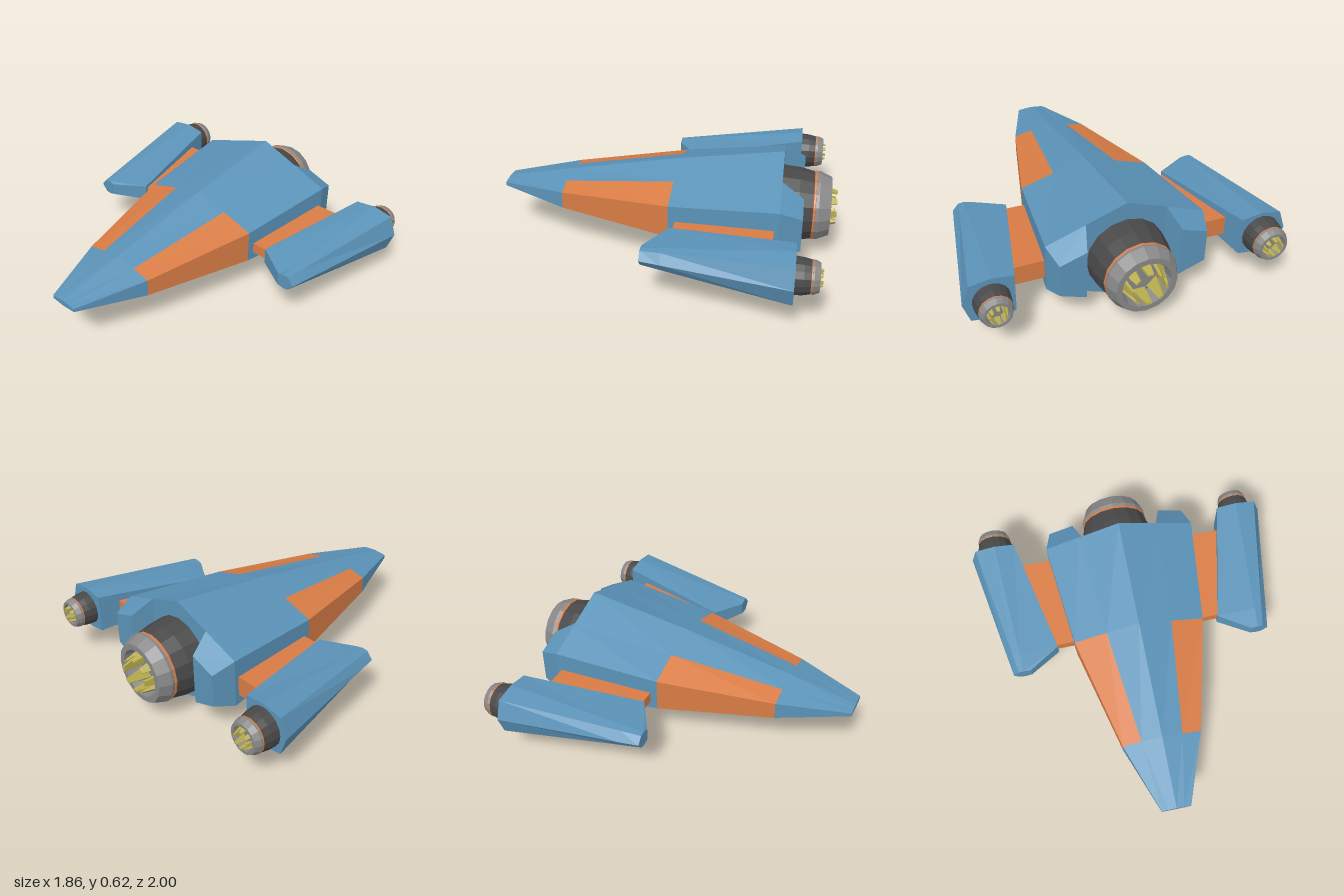
import * as THREE from 'three';

const paint = (color) => new THREE.MeshStandardMaterial({ color, flatShading: true, side: THREE.DoubleSide });

// Skins counter-clockwise rings ordered from back to front; keep(i, j) selects panels.
function loft(rings, keep = () => true, caps = true) {
  const pos = [];
  const tri = (a, b, c) => pos.push(...a, ...b, ...c);
  const n = rings[0].length;
  for (let i = 0; i < rings.length - 1; i++) {
    for (let j = 0; j < n; j++) {
      if (!keep(i, j)) continue;
      const k = (j + 1) % n;
      tri(rings[i][j], rings[i][k], rings[i + 1][k]);
      tri(rings[i][j], rings[i + 1][k], rings[i + 1][j]);
    }
  }
  if (caps) {
    const back = rings[0], front = rings[rings.length - 1];
    for (let j = 1; j < n - 1; j++) {
      tri(back[0], back[j + 1], back[j]);
      tri(front[0], front[j], front[j + 1]);
    }
  }
  const g = new THREE.BufferGeometry();
  g.setAttribute('position', new THREE.Float32BufferAttribute(pos, 3));
  g.computeVertexNormals();
  return g;
}

// Places a 2D outline at depth z, mirrored for side = -1 with its order kept.
function ring(points, z, side = 1) {
  const r = points.map(([x, y]) => [x * side, y, z]);
  return side < 0 ? r.reverse() : r;
}

export function createModel() {
  const model = new THREE.Group();
  const blue = paint(0x5b93b8), orange = paint(0xd87c45), dark = paint(0x484848);
  const grey = paint(0x888888), yellow = paint(0xb9ae50);

  const add = (parent, name, geometry, material) => {
    const mesh = new THREE.Mesh(geometry, material);
    mesh.name = name;
    parent.add(mesh);
    return mesh;
  };

  // Hull: six-sided sections, with extra points where the painted panels end
  // z, half width, top, upper corner, lower corner, bottom, panel edge
  const sections = [
    [-0.68, 0.455, 0.62, 0.457, 0.172, 0.0, 0.25],
    [-0.06, 0.39, 0.53, 0.41, 0.215, 0.1, 0.195],
    [0.6, 0.23, 0.41, 0.36, 0.258, 0.21, 0.12],
    [1.0, 0.085, 0.33, 0.322, 0.302, 0.295, 0.045],
  ];
  const hullRings = sections.map(([z, w, top, up, low, bottom, e]) => {
    const f = e / w;
    const eTop = top + (up - top) * f, eLow = bottom + (low - bottom) * f;
    return ring([[0, bottom], [e, eLow], [w, low], [w, up], [e, eTop],
      [0, top], [-e, eTop], [-w, up], [-w, low], [-e, eLow]], z);
  });
  const isPanel = (i, j) => i === 1 && [1, 2, 3, 6, 7, 8].includes(j);
  add(model, 'hull', loft(hullRings, (i, j) => !isPanel(i, j)), blue);
  add(model, 'hullPanels', loft(hullRings, isPanel, false), orange);

  // Engine: faceted casing, thin band, hollow nozzle and a ring of teeth, pointing to -z
  function engine(name, x, z, scale) {
    const group = new THREE.Group();
    group.name = name;
    const lathe = (part, profile, material) => add(group, part,
      new THREE.LatheGeometry(profile.map(([r, d]) => new THREE.Vector2(r, d)), 16).rotateX(-Math.PI / 2), material);
    lathe('casing', [[0, -0.02], [0.227, -0.02], [0.227, 0], [0.218, 0.1], [0.2, 0.182], [0.12, 0.182]], dark);
    lathe('band', [[0.197, 0.18], [0.203, 0.184], [0.203, 0.194], [0.197, 0.198]], orange);
    lathe('nozzle', [[0.2, 0.196], [0.203, 0.215], [0.173, 0.283], [0.14, 0.283], [0.125, 0.17], [0, 0.17]], grey);
    for (let i = 0; i < 8; i++) {
      const tooth = new THREE.CylinderGeometry(0.022, 0.052, 0.14, 4, 1)
        .rotateY(Math.PI / 4).scale(1, 1, 0.35)
        .rotateX(-0.16).translate(0, 0.25, 0.105)
        .rotateX(-Math.PI / 2).rotateZ(i * Math.PI / 4);
      add(group, 'nozzleTooth', tooth, yellow);
    }
    group.position.set(x, 0.287, z);
    group.scale.setScalar(scale);
    model.add(group);
  }
  engine('mainEngine', 0, -0.68, 1);
  engine('leftPodEngine', 0.777, -0.78, 0.45);
  engine('rightPodEngine', -0.777, -0.78, 0.5);

  for (const side of [1, -1]) {
    const label = side > 0 ? 'left' : 'right';

    // Tapered blocks either side of the main engine
    add(model, label + 'RearBlock', loft([
      ring([[0.27, 0.16], [0.42, 0.215], [0.42, 0.41], [0.27, 0.46]], -0.805, side),
      ring([[0.23, 0.087], [0.455, 0.172], [0.455, 0.457], [0.23, 0.537]], -0.68, side),
    ]), blue);

    // Strut joining the hull to the pod
    add(model, label + 'Strut', loft([
      ring([[0.3, 0.233], [0.65, 0.233], [0.65, 0.347], [0.3, 0.347]], -0.655, side),
      ring([[0.3, 0.258], [0.53, 0.258], [0.53, 0.32], [0.3, 0.32]], -0.1, side),
    ]), orange);

    // Pod: eight corners, symmetric above and below, flaring inwards near its nose
    // Half outline from the outer point over the top to the inner edge
    const podRing = (half, z) => {
      const lower = half.slice(1).reverse().map(([x, y]) => [x, 0.58 - y]);
      return ring([...half, ...lower], z, side);
    };
    add(model, label + 'Pod', loft([
      podRing([[0.93, 0.29], [0.89, 0.402], [0.77, 0.422], [0.65, 0.405]], -0.78),
      podRing([[0.806, 0.29], [0.77, 0.342], [0.727, 0.348], [0.495, 0.338]], -0.085),
      podRing([[0.785, 0.29], [0.75, 0.332], [0.72, 0.336], [0.68, 0.327]], 0.03),
    ]), blue);
  }
  return model;
}
